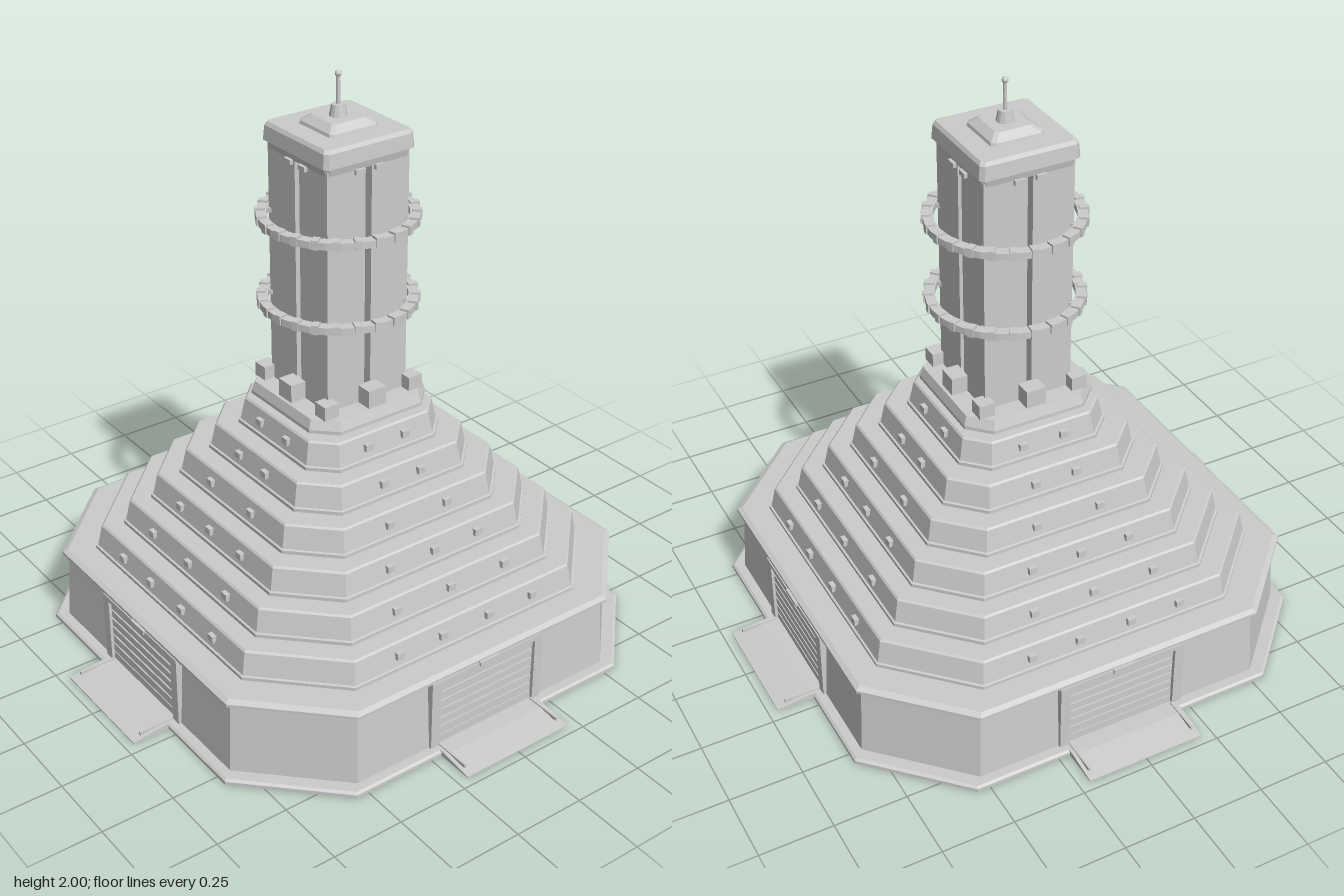
import * as THREE from 'three';

const mat = new THREE.MeshStandardMaterial({ color: 0xcccccc, flatShading: true });

function add(parent, name, geo, x = 0, y = 0, z = 0) {
  const m = new THREE.Mesh(geo, mat);
  m.name = name;
  m.position.set(x, y, z);
  parent.add(m);
  return m;
}

const box = (parent, name, w, h, d, x, y, z) => add(parent, name, new THREE.BoxGeometry(w, h, d), x, y, z);

// Chamfered-square loft; each level is [y, half width, half length of the flat side]
function octLoft(levels) {
  const pos = [];
  const rings = levels.map(([y, h, f]) =>
    [[f, h], [h, f], [h, -f], [f, -h], [-f, -h], [-h, -f], [-h, f], [-f, h]].map(([x, z]) => [x, y, z]));
  const tri = (a, b, c) => pos.push(...a, ...b, ...c);
  for (let k = 0; k + 1 < rings.length; k++) {
    for (let i = 0; i < 8; i++) {
      const j = (i + 1) % 8, a = rings[k], b = rings[k + 1];
      tri(a[i], a[j], b[j]);
      tri(a[i], b[j], b[i]);
    }
  }
  const lo = rings[0], hi = rings[rings.length - 1];
  for (let i = 1; i < 7; i++) {
    tri(lo[0], lo[i + 1], lo[i]);
    tri(hi[0], hi[i], hi[i + 1]);
  }
  const g = new THREE.BufferGeometry();
  g.setAttribute('position', new THREE.Float32BufferAttribute(pos, 3));
  g.computeVertexNormals();
  return g;
}

// Ramp wedge whose side profile runs outward along +z
function rampGeometry() {
  const s = new THREE.Shape([[0.78, 0], [0.968, 0], [0.968, 0.004], [0.86, 0.018], [0.78, 0.018]]
    .map(([z, y]) => new THREE.Vector2(z, y)));
  const g = new THREE.ExtrudeGeometry(s, { depth: 0.42, bevelEnabled: false });
  g.rotateY(-Math.PI / 2);
  g.translate(0.21, 0, 0);
  return g;
}

// Stepped tiers: half width, flat half length, window offsets
const tiers = [
  [0.70, 0.45, [-0.275, -0.1, 0.09, 0.275]],
  [0.612, 0.40, [-0.22, 0, 0.225]],
  [0.525, 0.355, [-0.18, 0, 0.18]],
  [0.44, 0.30, [-0.117, 0.117]],
  [0.353, 0.245, [-0.075, 0.075]],
  [0.267, 0.19, [-0.075, 0.075]],
];
const tierY = i => 0.288 + i * 0.0955;

function gateSide(side) {
  add(side, 'ramp', rampGeometry());
  for (const s of [-1, 1]) {
    box(side, 'rampCurb', 0.008, 0.012, 0.13, s * 0.193, 0.016, 0.87);
    box(side, 'doorJamb', 0.035, 0.25, 0.05, s * 0.213, 0.14, 0.785);
  }
  box(side, 'doorLintel', 0.46, 0.016, 0.05, 0, 0.262, 0.785);
  box(side, 'doorSign', 0.08, 0.014, 0.02, 0, 0.268, 0.806);
  box(side, 'doorPanel', 0.40, 0.24, 0.04, 0, 0.135, 0.775);
  for (let i = 0; i < 7; i++) box(side, 'doorSlat', 0.385, 0.026, 0.008, 0, 0.034 + i * 0.034, 0.797);
  // Small windows on each step
  tiers.forEach(([h, , xs], i) => xs.forEach(x =>
    box(side, 'window', 0.028, 0.024, 0.03, x, tierY(i) + 0.052, h - 0.008)));
}

function towerSide(side) {
  box(side, 'towerFootBlock', 0.07, 0.065, 0.06, 0, 0.952, 0.185);
  box(side, 'cornerBlock', 0.055, 0.05, 0.055, 0.17, 0.945, 0.17);
  // Corner shaft, leaving a slot along the middle of each face
  box(side, 'towerCorner', 0.146, 0.87, 0.146, 0.085, 1.315, 0.085);
  for (const s of [-1, 1]) box(side, 'capBracket', 0.035, 0.016, 0.02, s * 0.038, 1.73, 0.16);
}

function ringWalk(y) {
  const g = new THREE.Group();
  g.name = 'ringGallery';
  const profile = [[0.228, -0.012], [0.262, -0.012], [0.262, 0.012], [0.228, 0.012], [0.228, -0.012]];
  add(g, 'ring', new THREE.LatheGeometry(profile.map(p => new THREE.Vector2(...p)), 32));
  for (let i = 0; i < 24; i++) {
    const a = (i + 0.5) * Math.PI / 12;
    const m = box(g, 'ringClamp', 0.022, 0.032, 0.032, Math.sin(a) * 0.25, 0.003, Math.cos(a) * 0.25);
    m.rotation.y = a;
  }
  for (let i = 0; i < 4; i++) {
    const a = Math.PI / 4 + i * Math.PI / 2;
    const m = box(g, 'ringStrut', 0.02, 0.016, 0.06, Math.sin(a) * 0.215, 0, Math.cos(a) * 0.215);
    m.rotation.y = a;
  }
  g.position.y = y;
  return g;
}

export function createModel() {
  const model = new THREE.Group();
  model.name = 'steppedTower';

  // Base
  add(model, 'basePlate', octLoft([[0, 0.838, 0.545], [0.012, 0.838, 0.545], [0.018, 0.83, 0.54]]));
  add(model, 'baseWall', octLoft([[0.015, 0.80, 0.515], [0.27, 0.785, 0.505]]));
  add(model, 'baseRim', octLoft([[0.264, 0.795, 0.51], [0.27, 0.806, 0.515], [0.28, 0.806, 0.515], [0.289, 0.79, 0.505]]));

  // Stepped tiers
  tiers.forEach(([h, f], i) => {
    const y = tierY(i), top = y + 0.0955;
    add(model, 'tier', octLoft([
      [y - 0.004, h + 0.007, f + 0.004], [y + 0.012, h + 0.007, f + 0.004], [y + 0.014, h, f],
      [top - 0.006, h - 0.014, f - 0.008], [top, h - 0.02, f - 0.011],
    ]));
  });

  // Platform under the tower
  add(model, 'platformNeck', octLoft([[0.855, 0.19, 0.14], [0.885, 0.19, 0.14]]));
  add(model, 'platform', octLoft([[0.878, 0.237, 0.165], [0.89, 0.237, 0.165], [0.922, 0.226, 0.158]]));

  // Tower shaft and galleries
  box(model, 'towerCore', 0.25, 0.85, 0.25, 0, 1.32, 0);
  for (const y of [1.235, 1.525]) model.add(ringWalk(y));

  // Four identical sides
  for (let i = 0; i < 4; i++) {
    const side = new THREE.Group();
    side.name = 'side';
    side.rotation.y = i * Math.PI / 2;
    gateSide(side);
    towerSide(side);
    model.add(side);
  }

  // Cap and mast
  add(model, 'towerCap', octLoft([[1.735, 0.158, 0.148], [1.762, 0.164, 0.152], [1.764, 0.174, 0.16],
    [1.812, 0.17, 0.157], [1.824, 0.162, 0.15]]));
  add(model, 'capStep', octLoft([[1.822, 0.093, 0.08], [1.834, 0.09, 0.077], [1.855, 0.064, 0.054]]));
  add(model, 'mastSocket', new THREE.CylinderGeometry(0.022, 0.03, 0.04, 12), 0, 1.872, 0);
  add(model, 'mast', new THREE.CylinderGeometry(0.006, 0.007, 0.1, 8), 0, 1.94, 0);
  add(model, 'mastBall', new THREE.SphereGeometry(0.011, 10, 8), 0, 1.989, 0);
  return model;
}
